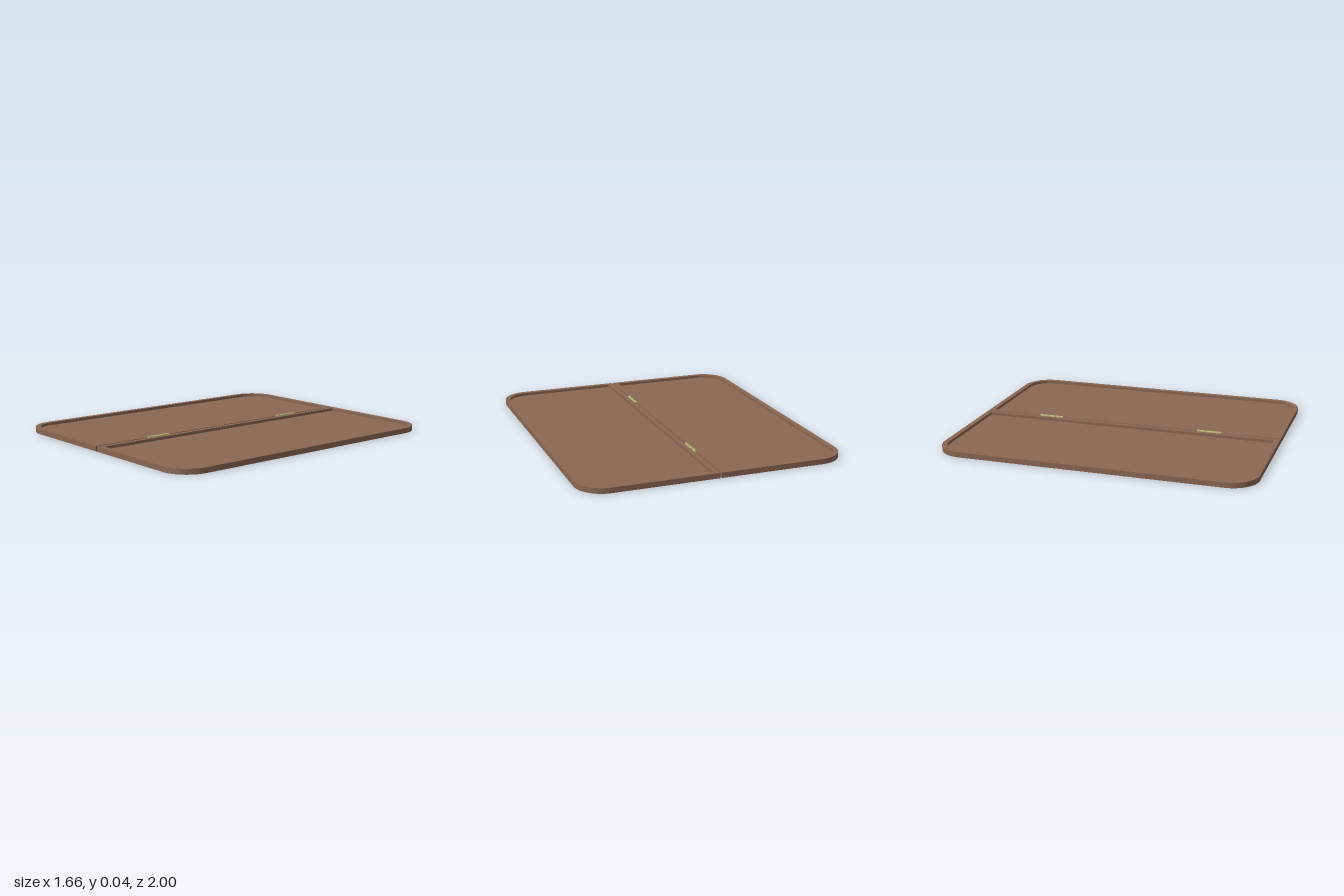
import * as THREE from 'three';

const HEIGHT = 0.033, FLOOR = 0.015, RIM = 0.032;
const HALF_GAP = 0.005, OUTER_X = 0.832, OUTER_Z = 1;

const wood = new THREE.MeshStandardMaterial({ color: 0x8b6753 });
const brass = new THREE.MeshStandardMaterial({ color: 0xb0b070 });

// Half-board outline: rounded on the outer side (r), nearly square at the hinge side (s)
function outline(path, x0, x1, z, r, s) {
  path.moveTo(x0 + s, -z);
  path.lineTo(x1 - r, -z);
  path.absarc(x1 - r, -z + r, r, -Math.PI / 2, 0, false);
  path.lineTo(x1, z - r);
  path.absarc(x1 - r, z - r, r, 0, Math.PI / 2, false);
  path.lineTo(x0 + s, z);
  if (s > 0) path.absarc(x0 + s, z - s, s, Math.PI / 2, Math.PI, false);
  path.lineTo(x0, -z + s);
  if (s > 0) path.absarc(x0 + s, -z + s, s, Math.PI, Math.PI * 1.5, false);
  return path;
}

// Extrude a flat outline upward from y = 0
function slab(shape, height, name) {
  const geo = new THREE.ExtrudeGeometry(shape, { depth: height, bevelEnabled: false, curveSegments: 12 });
  geo.rotateX(-Math.PI / 2);
  const mesh = new THREE.Mesh(geo, wood);
  mesh.name = name;
  return mesh;
}

function makeTray(name) {
  const tray = new THREE.Group();
  tray.name = name;
  const inner = [HALF_GAP + RIM, OUTER_X - RIM, OUTER_Z - RIM, 0.14, 0.008];
  const rim = outline(new THREE.Shape(), HALF_GAP, OUTER_X, OUTER_Z, 0.172, 0);
  rim.holes.push(outline(new THREE.Path(), ...inner));
  tray.add(slab(rim, HEIGHT, 'rim'));
  tray.add(slab(outline(new THREE.Shape(), ...inner), FLOOR, 'floor'));
  return tray;
}

// Hinge barrel of three knuckles on a thin pin, lying along z
function makeHinge(z, name) {
  const hinge = new THREE.Group();
  hinge.name = name;
  const rod = (radius, length, offset, label) => {
    const mesh = new THREE.Mesh(new THREE.CylinderGeometry(radius, radius, length, 16).rotateX(Math.PI / 2), brass);
    mesh.position.z = offset;
    mesh.name = label;
    hinge.add(mesh);
  };
  for (const i of [-1, 0, 1]) rod(0.009, 0.05, i * 0.055, 'knuckle');
  rod(0.005, 0.158, 0, 'pin');
  hinge.position.set(0, HEIGHT, z);
  return hinge;
}

export function createModel() {
  const model = new THREE.Group();
  model.name = 'foldingBoard';
  const left = makeTray('leftTray');
  const right = makeTray('rightTray');
  right.rotation.y = Math.PI;
  model.add(left, right, makeHinge(0.54, 'frontHinge'), makeHinge(-0.54, 'backHinge'));
  return model;
}
